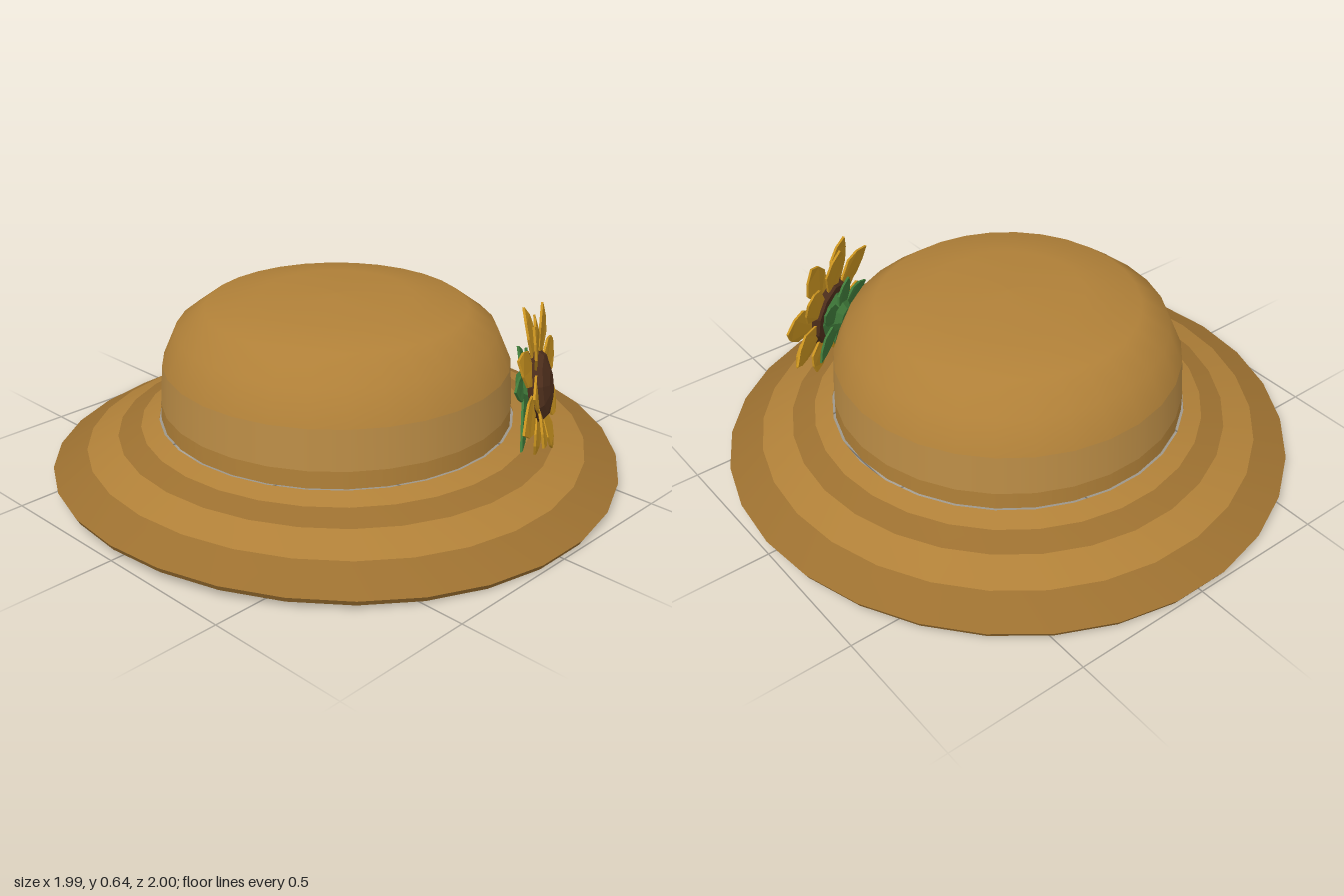
import * as THREE from 'three';

const SIDES = 30;
const mat = (color, flatShading = false) =>
  new THREE.MeshStandardMaterial({ color, flatShading, side: THREE.DoubleSide });
const straw = mat(0xb08038), strawDark = mat(0x9c7030), strawLight = mat(0xb98b45);
const yellow = mat(0xc8921f, true), brown = mat(0x4f2f1c, true), green = mat(0x3f7a3a, true);

function add(parent, name, geometry, material) {
  const mesh = new THREE.Mesh(geometry, material);
  mesh.name = name;
  parent.add(mesh);
  return mesh;
}

const lathe = (points, sides = SIDES) =>
  new THREE.LatheGeometry(points.map(([r, y]) => new THREE.Vector2(r, y)), sides);

// Lift the front and back of the brim so that its sides droop
function droop(geometry) {
  const p = geometry.attributes.position;
  for (let i = 0; i < p.count; i++) {
    const x = p.getX(i), z = p.getZ(i), r = Math.hypot(x, z);
    const t = Math.max(0, (r - 0.62) / 0.38);
    p.setY(i, p.getY(i) + 0.036 * t * (z * z) / (r * r));
  }
  geometry.computeVertexNormals();
  // Match the normals on both sides of the lathe seam
  const n = geometry.attributes.normal, rows = n.count / (SIDES + 1);
  for (let j = 0; j < rows; j++) {
    const a = new THREE.Vector3().fromBufferAttribute(n, j);
    const k = SIDES * rows + j;
    a.add(new THREE.Vector3().fromBufferAttribute(n, k)).normalize();
    n.setXYZ(j, a.x, a.y, a.z);
    n.setXYZ(k, a.x, a.y, a.z);
  }
  return geometry;
}

// Pointed leaf shape along +y, creased along the middle
function blade(start, length, width, lift) {
  const s = new THREE.Shape();
  s.moveTo(-width * 0.25, start);
  s.lineTo(-width * 0.5, start + length * 0.5);
  s.lineTo(-width * 0.33, start + length * 0.78);
  s.lineTo(0, start + length);
  s.lineTo(width * 0.33, start + length * 0.78);
  s.lineTo(width * 0.5, start + length * 0.5);
  s.lineTo(width * 0.25, start);
  const g = new THREE.ExtrudeGeometry(s, { depth: 0.008, bevelEnabled: false });
  const p = g.attributes.position;
  for (let i = 0; i < p.count; i++) {
    const t = (p.getY(i) - start) / length;
    p.setZ(i, p.getZ(i) + lift * t + 0.15 * Math.abs(p.getX(i)));
  }
  g.computeVertexNormals();
  return g;
}

function createFlower() {
  const flower = new THREE.Group();
  flower.name = 'flower';
  const petals = 14;
  for (let i = 0; i < petals; i++) {
    const a = (i / petals) * Math.PI * 2;
    // Petals next to the brim are shorter
    const length = Math.cos(a) < -0.6 ? 0.145 : 0.185;
    const petal = add(flower, 'petal', blade(0.095, length, 0.125, i % 2 ? 0.022 : -0.012), yellow);
    petal.rotation.z = -a;
    petal.position.z = i % 2 ? 0.006 : -0.006;
  }
  // Domed seed disc
  const disc = add(flower, 'seedDisc',
    lathe([[0, -0.012], [0.115, -0.012], [0.13, 0.012], [0.105, 0.038], [0.05, 0.054], [0, 0.054]], 10), brown);
  disc.rotation.x = Math.PI / 2;
  // Calyx and leaves behind the petals
  const calyx = add(flower, 'calyx', new THREE.CylinderGeometry(0.09, 0.04, 0.05, 8), green);
  calyx.rotation.x = Math.PI / 2;
  calyx.position.z = -0.038;
  for (const [angle, length] of [[2.25, 0.23], [1.3, 0.17], [3.0, 0.16], [-2.3, 0.17], [0.2, 0.14], [-1, 0.14]]) {
    const leaf = add(flower, 'leaf', blade(0.02, length, 0.085, 0), green);
    leaf.rotation.z = angle;
    leaf.position.z = -0.045;
  }
  flower.rotation.set(THREE.MathUtils.degToRad(-9), THREE.MathUtils.degToRad(120), 0, 'YXZ');
  flower.position.set(0.607, 0.365, -0.345);
  return flower;
}

export function createModel() {
  const hat = new THREE.Group();
  hat.name = 'strawHat';

  // Crown: lower bands and a soft dome
  add(hat, 'crownBase', lathe([[0.617, 0.2], [0.616, 0.26]]), straw);
  add(hat, 'crownBand', lathe([[0.616, 0.26], [0.606, 0.4]]), strawLight);
  add(hat, 'crownDome', lathe([[0.606, 0.4], [0.556, 0.515], [0.455, 0.59], [0.265, 0.624], [0, 0.632]]), straw);

  // Brim: alternating woven rings, from the crown outwards
  const rings = [[0.626, 0.2], [0.69, 0.172], [0.77, 0.139], [0.88, 0.088], [1, 0.02]];
  for (let i = 0; i < 4; i++) {
    add(hat, 'brimRing', droop(lathe([rings[i + 1], rings[i]])), i % 2 ? strawDark : straw);
  }
  add(hat, 'brimEdge', droop(lathe([[0.988, 0], [1, 0.02]])), strawDark);
  add(hat, 'brimUnderside', droop(lathe([[0.626, 0.194], [0.77, 0.126], [0.88, 0.074], [0.988, 0]])), strawDark);

  hat.add(createFlower());
  return hat;
}
